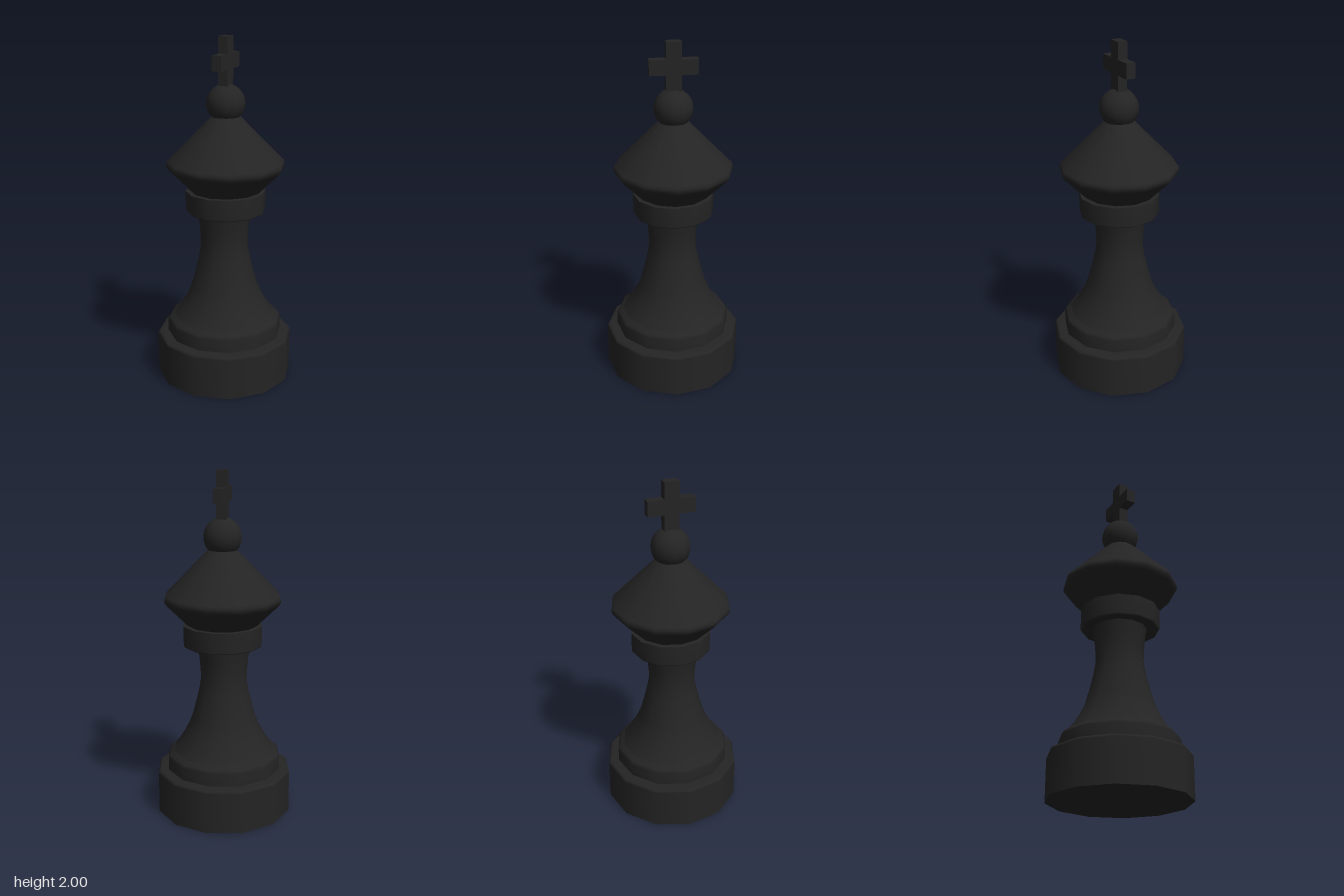
import * as THREE from 'three';

const SIDES = 12;
const TURN = -0.05; // slight twist of the twelve-sided turning

export function createModel() {
  const group = new THREE.Group();
  const black = new THREE.MeshStandardMaterial({ color: 0x242424 });
  black.name = 'black';

  const add = (name, geometry, parent = group) => {
    const mesh = new THREE.Mesh(geometry, black);
    mesh.name = name;
    parent.add(mesh);
    return mesh;
  };
  // Turned part from [radius, height] pairs, listed bottom to top
  const turned = (name, profile, parent) => add(name, new THREE.LatheGeometry(
    profile.map(([r, y]) => new THREE.Vector2(r, y)), SIDES, TURN), parent);

  // Base with a small bevel, closed underneath
  turned('baseUnderside', [[0, 0], [0.4, 0]]);
  turned('base', [[0.4, 0], [0.4, 0.24], [0.397, 0.25], [0.385, 0.258], [0.33, 0.26]]);

  // Skirt and flaring stem
  turned('skirt', [[0.338, 0.255], [0.338, 0.335], [0.328, 0.35], [0.3, 0.37]]);
  turned('stem', [
    [0.3, 0.37], [0.272, 0.405], [0.24, 0.456], [0.215, 0.505], [0.194, 0.555],
    [0.168, 0.65], [0.15, 0.725], [0.137, 0.8], [0.14, 0.87], [0.146, 0.94], [0.16, 1.01],
  ]);

  // The upper parts sit a hair off the base's axis
  const top = new THREE.Group();
  top.name = 'top';
  top.position.set(0.006, 0, -0.005);
  group.add(top);

  // Collar
  turned('collarUnderside', [[0.12, 1.003], [0.222, 1.003]], top);
  turned('collar', [[0.222, 1.003], [0.231, 1.012], [0.231, 1.127]], top);
  turned('collarTop', [[0.231, 1.127], [0.15, 1.13]], top);

  // Double-cone head with a rounded rim
  turned('head', [
    [0.195, 1.12], [0.325, 1.25], [0.338, 1.268], [0.34, 1.285],
    [0.333, 1.303], [0.205, 1.432], [0.08, 1.56], [0.05, 1.58],
  ], top);

  // Ball finial
  const ball = add('ball', new THREE.SphereGeometry(0.111, SIDES, 12), top);
  ball.position.y = 1.63;
  ball.rotation.y = TURN;

  // Cross, made of one post and two arms
  const cross = new THREE.Group();
  cross.name = 'cross';
  top.add(cross);
  add('crossPost', new THREE.BoxGeometry(0.055, 0.28, 0.085), cross).position.y = 1.86;
  for (const [name, side] of [['crossFrontArm', 1], ['crossBackArm', -1]]) {
    add(name, new THREE.BoxGeometry(0.055, 0.085, 0.0925), cross)
      .position.set(0, 1.863, side * 0.08875);
  }
  return group;
}
